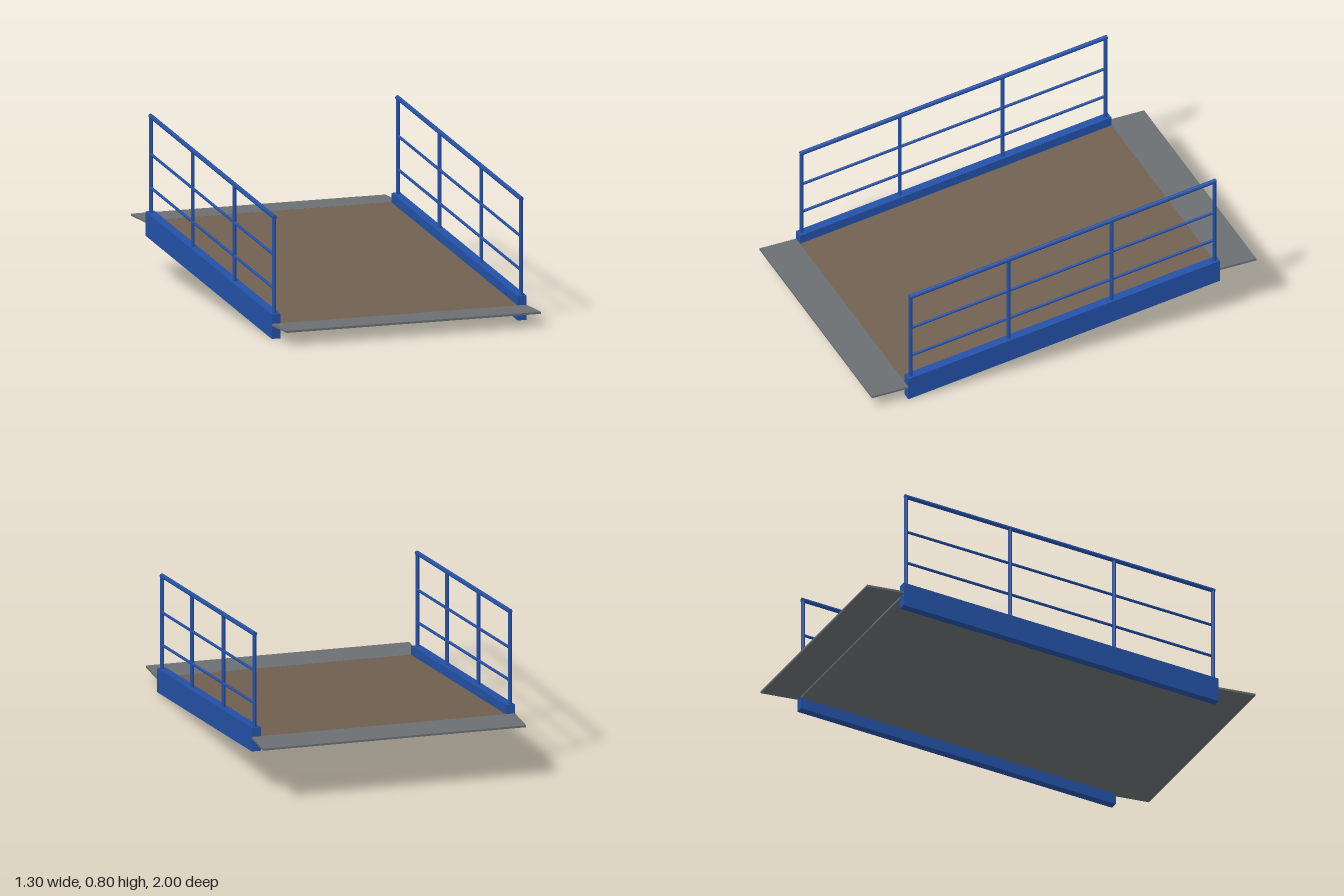
import * as THREE from 'three';

const SLOPE = 0.129; // rise per unit towards the back

export function createModel() {
  const group = new THREE.Group();
  group.name = 'accessRamp';

  const material = (name, color) => {
    const m = new THREE.MeshStandardMaterial({ color, flatShading: true });
    m.name = name;
    return m;
  };
  const blue = material('blue paint', 0x2350a5);
  const brown = material('brown deck', 0x6f5f50);
  const grey = material('grey steel', 0x6b6f71);

  const add = (name, geometry, mat, x, y, z) => {
    const mesh = new THREE.Mesh(geometry, mat);
    mesh.name = name;
    mesh.position.set(x, y, z);
    group.add(mesh);
    return mesh;
  };

  // Tilt a part along the ramp while its ends stay vertical
  const shear = (geometry) => {
    const p = geometry.attributes.position;
    for (let i = 0; i < p.count; i++) p.setY(i, p.getY(i) - SLOPE * p.getZ(i));
    geometry.computeVertexNormals();
    return geometry;
  };

  // Sloping deck: steel slab with a thin brown surface
  add('deckSlab', shear(new THREE.BoxGeometry(1.21, 0.012, 1.62)), grey, 0, 0.165, 0);
  add('deckSurface', shear(new THREE.BoxGeometry(1.21, 0.006, 1.62)), brown, 0, 0.174, 0);

  // Level landing plates at both ends
  for (const [name, s, y] of [['frontPlate', 1, 0.068], ['backPlate', -1, 0.277]]) {
    add(name, new THREE.BoxGeometry(1.3, 0.01, 0.19), grey, 0, y, s * 0.905);
  }

  // Side beams and railings
  const tube = (radius, length) => new THREE.CylinderGeometry(radius, radius, length, 8);
  for (const [side, s] of [['left', 1], ['right', -1]]) {
    const x = s * 0.63;
    add(side + 'Beam', shear(new THREE.BoxGeometry(0.045, 0.118, 1.62)), blue, s * 0.6275, 0.1635, 0);

    // Upright posts from the beam top to the handrail
    for (const z of [0.79, 0.28, -0.255, -0.79]) {
      const bottom = 0.215 - SLOPE * z;
      const top = 0.686 - SLOPE * z;
      add(side + 'Post', tube(0.01, top - bottom), blue, x, (bottom + top) / 2, z);
    }

    // Handrail and two thinner rails below it
    for (const [name, y, r] of [['Handrail', 0.686, 0.011], ['MiddleRail', 0.503, 0.007], ['LowerRail', 0.341, 0.007]]) {
      add(side + name, shear(tube(r, 1.596).rotateX(Math.PI / 2)), blue, x, y, 0);
    }
  }

  return group;
}
